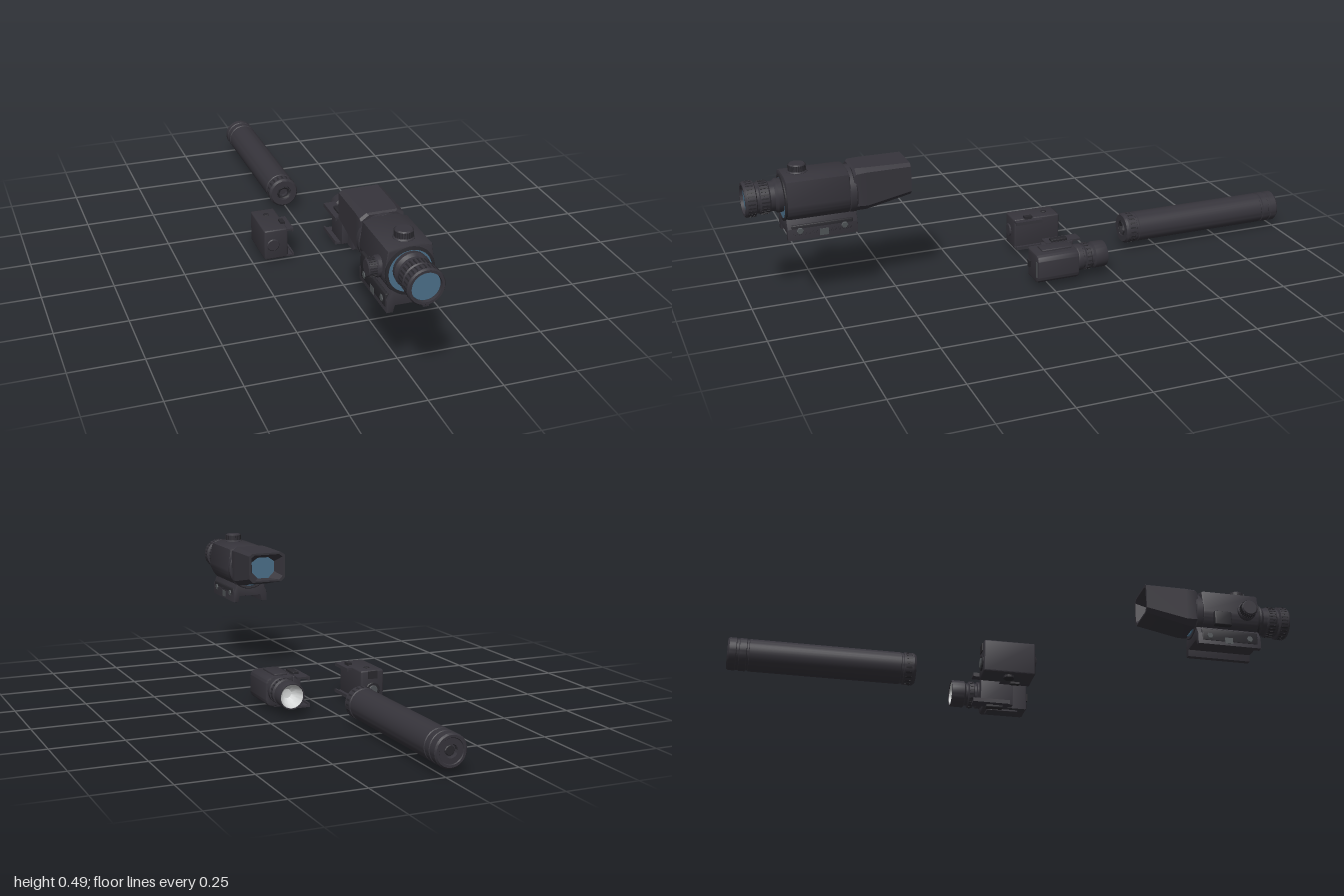
import * as THREE from 'three';
import { toCreasedNormals } from 'three/addons/utils/BufferGeometryUtils.js';
import { RoundedBoxGeometry } from 'three/addons/geometries/RoundedBoxGeometry.js';

const mat = (name, color) => Object.assign(new THREE.MeshStandardMaterial({ color }), { name });
const body = mat('charcoal body', 0x36343b);
const rubber = mat('black rubber', 0x29282d);
const glass = mat('blue glass', 0x4b6f89);
const metal = mat('grey metal', 0x505457);
const silver = mat('silver reflector', 0xd4d6d6);

function add(group, name, geometry, material) {
  const mesh = new THREE.Mesh(toCreasedNormals(geometry, 0.5), material);
  mesh.name = name;
  group.add(mesh);
  return mesh;
}

// Box given by its limits on each axis, with an optional edge radius
function box(group, name, m, [x0, x1], [y0, y1], [z0, z1], r = 0) {
  const s = [x1 - x0, y1 - y0, z1 - z0];
  const g = r ? new RoundedBoxGeometry(...s, 2, r) : new THREE.BoxGeometry(...s);
  g.translate((x0 + x1) / 2, (y0 + y1) / 2, (z0 + z1) / 2);
  return add(group, name, g, m);
}

// Profile of [radius, height] turned about the axis 'x', 'y' or 'z' through a point
function turned(group, name, m, profile, at, axis = 'z', segs = 36) {
  const g = new THREE.LatheGeometry(profile.map(([r, h]) => new THREE.Vector2(r, h)), segs);
  if (axis === 'z') g.rotateX(Math.PI / 2);
  if (axis === 'x') g.rotateZ(-Math.PI / 2);
  g.translate(...at);
  return add(group, name, g, m);
}

// Solid disc from height a to b along an axis, with chamfered rims
function disc(group, name, m, r, a, b, at, axis = 'z', segs = 28) {
  const c = Math.min(0.004, r * 0.15, (b - a) * 0.3);
  return turned(group, name, m, [[0, a], [r - c, a], [r, a + c], [r, b - c], [r - c, b], [0, b]], at, axis, segs);
}

// Ring of grip ribs around an axis
function ribs(group, name, m, n, r, length, at, axis = 'z', size = 0.005) {
  const set = new THREE.Group();
  set.name = name;
  for (let i = 0; i < n; i++) {
    const g = new THREE.BoxGeometry(size, size, length);
    g.translate(r, 0, 0).rotateZ((i / n) * Math.PI * 2);
    if (axis === 'x') g.rotateY(Math.PI / 2);
    if (axis === 'y') g.rotateX(Math.PI / 2);
    add(set, 'rib', g.translate(...at), m);
  }
  group.add(set);
}

// Outline in the x-y plane pushed from z0 to z1
function prism(group, name, m, points, z0, z1, bevel = 0) {
  const shape = points instanceof THREE.Shape ? points : new THREE.Shape(points.map(([x, y]) => new THREE.Vector2(x, y)));
  const g = new THREE.ExtrudeGeometry(shape, {
    depth: z1 - z0 - 2 * bevel, bevelEnabled: bevel > 0, bevelSize: bevel, bevelOffset: -bevel,
    bevelThickness: bevel, bevelSegments: 2, curveSegments: 20 });
  return add(group, name, g.translate(0, 0, z0 + bevel), m);
}

// Skin through rings of equal length, listed from +z towards -z
function loft(group, name, m, rings) {
  const p = [];
  for (let k = 0; k + 1 < rings.length; k++) {
    const a = rings[k], b = rings[k + 1], n = a.length;
    for (let i = 0; i < n; i++) {
      const j = (i + 1) % n;
      p.push(...a[i], ...b[i], ...a[j], ...a[j], ...b[i], ...b[j]);
    }
  }
  const g = new THREE.BufferGeometry();
  g.setAttribute('position', new THREE.Float32BufferAttribute(p, 3));
  return add(group, name, g, m);
}

function opticalSight() {
  const s = new THREE.Group();
  s.name = 'opticalSight';
  const cx = -0.017, cy = 0.378, eye = [cx, 0.388, 0];

  // Main housing: flat top, round underside
  const outline = new THREE.Shape();
  outline.moveTo(cx + 0.082, cy);
  outline.lineTo(cx + 0.072, cy + 0.074);
  outline.lineTo(cx + 0.035, cy + 0.085);
  outline.lineTo(cx - 0.035, cy + 0.085);
  outline.lineTo(cx - 0.072, cy + 0.074);
  outline.lineTo(cx - 0.082, cy);
  outline.absarc(cx, cy, 0.082, Math.PI, Math.PI * 2, false);
  prism(s, 'housing', body, outline, 0.655, 0.87, 0.008);
  disc(s, 'rearCollar', body, 0.083, 0.632, 0.66, [cx, cy, 0], 'z', 40);
  turned(s, 'frontRim', rubber, [[0.07, 0.865], [0.079, 0.865], [0.079, 0.874], [0.07, 0.876], [0.07, 0.865]], [cx, cy, 0]);
  disc(s, 'frontGlass', glass, 0.071, 0.868, 0.873, [cx, cy, 0]);

  // Eyepiece
  turned(s, 'eyepiece', body, [[0.056, 0.872], [0.058, 0.89], [0.05, 0.9], [0.05, 0.915], [0.055, 0.92],
    [0.055, 0.948], [0.051, 0.952], [0.051, 0.96], [0.06, 0.964], [0.06, 0.994], [0.056, 1], [0.048, 1], [0.047, 0.985]], eye);
  disc(s, 'eyepieceGlass', glass, 0.0475, 0.984, 0.99, eye);
  ribs(s, 'eyepieceGrip', rubber, 28, 0.054, 0.026, [eye[0], eye[1], 0.934]);
  ribs(s, 'eyecupGrip', rubber, 28, 0.058, 0.024, [eye[0], eye[1], 0.979]);

  // Adjustment turrets
  disc(s, 'topTurretBase', body, 0.034, 0.45, 0.468, [cx, 0, 0.815], 'y');
  disc(s, 'topTurret', body, 0.029, 0.46, 0.491, [cx, 0, 0.815], 'y');
  ribs(s, 'topTurretGrip', rubber, 24, 0.0285, 0.019, [cx, 0.478, 0.815], 'y', 0.004);
  disc(s, 'sideTurretBase', body, 0.034, -0.11, -0.085, [0, 0.382, 0.82], 'x');
  disc(s, 'sideTurret', body, 0.029, -0.137, -0.1, [0, 0.382, 0.82], 'x');
  ribs(s, 'sideTurretGrip', rubber, 24, 0.0285, 0.022, [-0.122, 0.382, 0.82], 'x', 0.004);
  box(s, 'sideSwitch', rubber, [-0.108, -0.085], [0.316, 0.372], [0.695, 0.76], 0.005);

  // Tapered rear hood with a recessed many-sided window
  const ring = (hw, y0, y1, c, z) => [[-hw + c, y0], [hw - c, y0], [hw, y0 + c], [hw, y1 - c * 0.7],
    [hw - c, y1], [-hw + c, y1], [-hw, y1 - c * 0.7], [-hw, y0 + c]].map(([x, y]) => [cx + x, y, z]);
  loft(s, 'hood', body, [ring(0.03, 0.35, 0.42, 0.02, 0.642), ring(0.07, 0.32, 0.46, 0.026, 0.642),
    ring(0.073, 0.316, 0.465, 0.022, 0.635), ring(0.073, 0.318, 0.465, 0.018, 0.6), ring(0.073, 0.352, 0.463, 0.014, 0.447),
    ring(0.064, 0.358, 0.456, 0.014, 0.447), ring(0.046, 0.36, 0.44, 0.024, 0.49)]);
  loft(s, 'hoodGlass', glass, [ring(0.047, 0.358, 0.442, 0.024, 0.491), ring(0.001, 0.399, 0.4, 0.0002, 0.491)]);
  disc(s, 'underGlass', glass, 0.07, 0.628, 0.634, [cx, cy, 0]);

  // Rail mount with clamping bolts
  prism(s, 'railMount', body, [[-0.088, 0.245], [-0.068, 0.245], [-0.062, 0.268], [0.024, 0.268], [0.03, 0.245],
    [0.048, 0.245], [0.048, 0.285], [0.035, 0.318], [-0.07, 0.318], [-0.088, 0.285]], 0.635, 0.872, 0.002);
  box(s, 'clampBar', rubber, [-0.089, -0.078], [0.258, 0.305], [0.65, 0.86], 0.004);
  box(s, 'clampBar', rubber, [0.038, 0.048], [0.258, 0.298], [0.65, 0.86], 0.004);
  for (const z of [0.68, 0.83]) {
    disc(s, 'mountBolt', metal, 0.012, 0.042, 0.052, [0, 0.277, z], 'x', 6);
    disc(s, 'mountBolt', metal, 0.012, -0.092, -0.082, [0, 0.277, z], 'x', 6);
  }
  for (const x of [-0.09, 0.044]) box(s, 'clampLug', metal, [x, x + 0.006], [0.252, 0.275], [0.735, 0.765]);
  return s;
}

function barrelTube() {
  const t = new THREE.Group();
  t.name = 'barrelTube';
  const at = [-0.018, 0.077, 0];
  // Long tube with shallow grooves and bored ends
  turned(t, 'tube', body, [[0, -0.985], [0.02, -0.985], [0.022, -0.997], [0.04, -0.997], [0.042, -1], [0.05, -1],
    [0.055, -0.994], [0.055, -0.972], [0.0525, -0.97], [0.0525, -0.962], [0.055, -0.96], [0.055, -0.938], [0.052, -0.936],
    [0.052, -0.93], [0.0545, -0.928], [0.0545, -0.422], [0.052, -0.42], [0.052, -0.413], [0.055, -0.411], [0.055, -0.378],
    [0.049, -0.37], [0.028, -0.37], [0.026, -0.376], [0.02, -0.376], [0.019, -0.4], [0, -0.4]], at, 'z', 40);
  turned(t, 'threadInsert', rubber, [[0.018, -0.382], [0.026, -0.376], [0.024, -0.368], [0.018, -0.372], [0.018, -0.382]], at, 'z', 8);
  disc(t, 'muzzleBore', rubber, 0.016, -0.99, -0.98, at);
  for (let i = 0; i < 20; i++) {
    const g = new THREE.BoxGeometry(0.003, 0.006, 0.02).translate(0.054, 0, -0.395).rotateZ((i / 20) * Math.PI * 2);
    add(t, 'endGrip', g.translate(...at), rubber);
  }
  return t;
}

function weaponLamp() {
  const l = new THREE.Group();
  l.name = 'lamp';
  // Battery case rounded on its outer side
  const c = new THREE.Shape();
  c.moveTo(0.108, 0.016);
  c.lineTo(0.18, 0.016);
  c.quadraticCurveTo(0.21, 0.018, 0.21, 0.045);
  c.lineTo(0.21, 0.092);
  c.quadraticCurveTo(0.21, 0.118, 0.18, 0.12);
  c.lineTo(0.108, 0.12);
  prism(l, 'lampCase', body, c, -0.105, 0.05, 0.007);
  for (const [y0, y1] of [[0.116, 0.127], [0.009, 0.02]]) box(l, 'casePad', body, [0.124, 0.172], [y0, y1], [-0.09, 0.02], 0.003);
  prism(l, 'rearButton', rubber, [[0.122, 0.055], [0.138, 0.055], [0.143, 0.08], [0.119, 0.08]], 0.048, 0.056);
  box(l, 'rearStrip', metal, [0.191, 0.199], [0.04, 0.096], [0.044, 0.052]);

  // Lamp head with reflector facing backwards
  const at = [0.158, 0.075, 0];
  turned(l, 'lampHead', body, [[0.04, -0.2], [0.042, -0.217], [0.045, -0.217], [0.047, -0.212], [0.047, -0.172], [0.04, -0.166],
    [0.04, -0.158], [0.047, -0.154], [0.047, -0.138], [0.041, -0.135], [0.041, -0.128], [0.047, -0.125], [0.047, -0.11], [0.04, -0.1]], at);
  turned(l, 'reflector', silver, [[0, -0.165], [0.016, -0.168], [0.03, -0.182], [0.041, -0.214]], at);
  ribs(l, 'headGrip', rubber, 20, 0.0455, 0.014, [at[0], at[1], -0.146]);

  // Rail clamp
  box(l, 'clampBlock', body, [0.086, 0.114], [0.018, 0.12], [-0.12, -0.005], 0.003);
  for (const up of [0, 1]) {
    const y = (a, b) => (up ? [0.136 - b, 0.136 - a] : [a, b]);
    box(l, 'clampArm', body, [0.066, 0.11], y(0.014, 0.021), [-0.15, -0.02]);
    box(l, 'clampLip', body, [0.065, 0.071], y(0.014, 0.028), [-0.15, -0.02]);
    box(l, 'clampKnob', rubber, [0.085, 0.108], y(0.005, 0.016), [-0.1, -0.04], 0.003);
  }
  return l;
}

function aimingModule() {
  const a = new THREE.Group();
  a.name = 'aimingModule';
  box(a, 'moduleCase', body, [-0.21, -0.123], [0.011, 0.125], [-0.165, 0.01], 0.006);
  disc(a, 'batteryCap', body, 0.023, 0.005, 0.015, [-0.179, 0.068, 0]);
  // Emitter window on the rear face
  disc(a, 'emitterBezel', rubber, 0.027, -0.169, -0.16, [-0.168, 0.055, 0]);
  disc(a, 'emitterLens', metal, 0.017, -0.172, -0.165, [-0.168, 0.055, 0]);
  box(a, 'rearNotch', rubber, [-0.185, -0.15], [0.095, 0.122], [-0.168, -0.16]);
  // Rail clamp and adjusters
  for (const up of [0, 1]) {
    const y = (p, q) => (up ? [0.136 - q, 0.136 - p] : [p, q]);
    box(a, 'clampArm', body, [-0.13, -0.103], y(0.014, 0.021), [-0.092, 0.01]);
    box(a, 'clampLip', body, [-0.108, -0.102], y(0.014, 0.026), [-0.092, 0.01]);
    box(a, 'clampPin', rubber, [-0.138, -0.122], y(0.004, 0.014), [-0.06, -0.03]);
  }
  disc(a, 'adjuster', rubber, 0.018, 0, 0.014, [-0.179, 0, -0.075], 'y');
  disc(a, 'topScrew', rubber, 0.01, 0.12, 0.128, [-0.165, 0, -0.12], 'y');
  return a;
}

export function createModel() {
  const model = new THREE.Group();
  model.name = 'accessorySet';
  model.add(opticalSight(), barrelTube(), weaponLamp(), aimingModule());
  return model;
}
